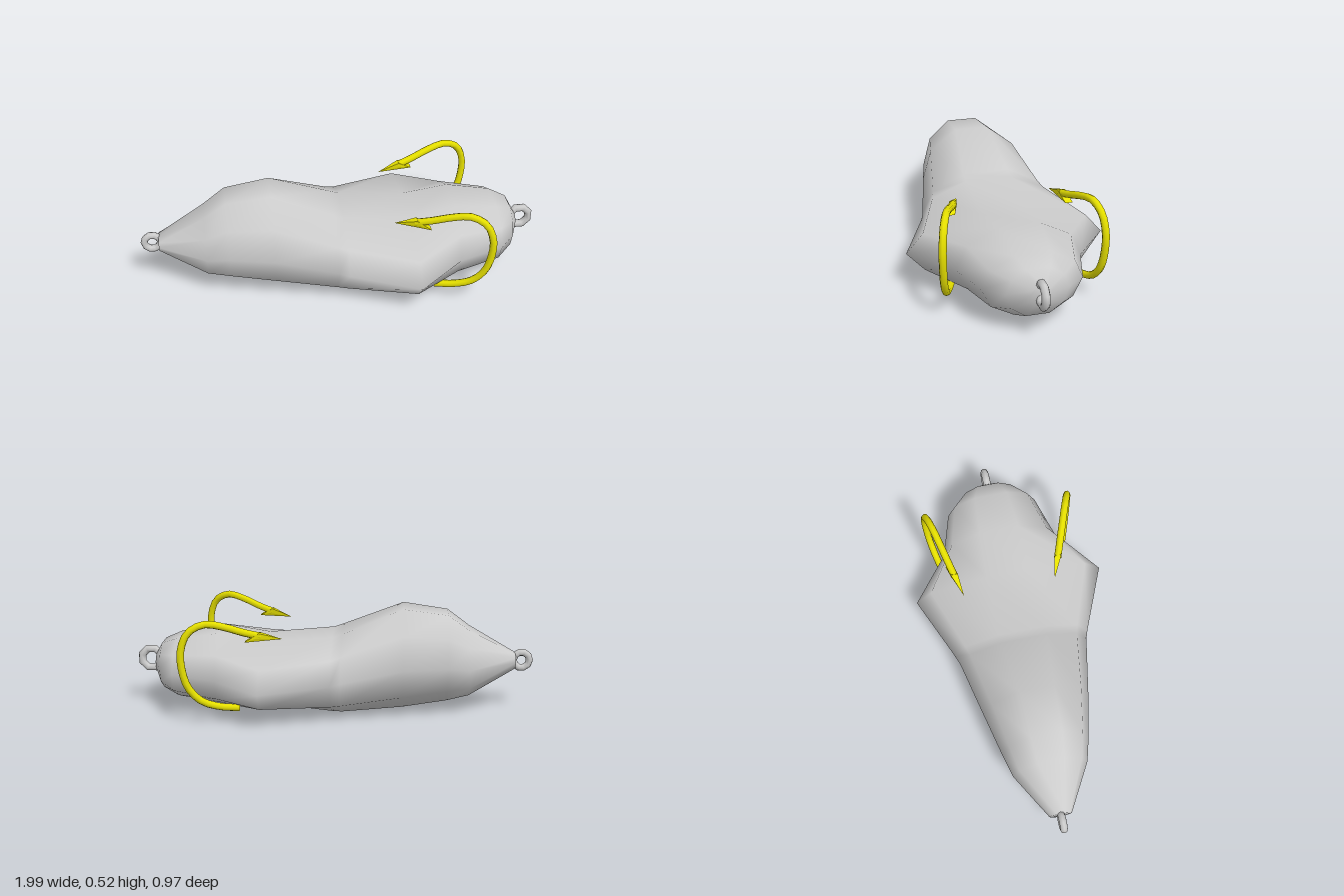
import * as THREE from 'three';
import { ConvexGeometry } from 'three/addons/geometries/ConvexGeometry.js';

const grey = new THREE.MeshStandardMaterial({ color: 0xcccccc });
const yellow = new THREE.MeshStandardMaterial({ color: 0xe6e000 });

// Body stations: x, top y, bottom y, widest y, half width, half width of the flat top and bottom
const STATIONS = [
  [-0.91, 0.29, 0.215, 0.255, 0.055, 0.02],
  [-0.68, 0.415, 0.085, 0.245, 0.185, 0.065],
  [-0.57, 0.495, 0.06, 0.26, 0.215, 0.075],
  [-0.35, 0.525, 0.025, 0.26, 0.265, 0.085],
  [-0.05, 0.403, 0.004, 0.21, 0.328, 0.115],
  [0, 0.385, 0.006, 0.2, 0.345, 0.115],
  [0.33, 0.355, 0.04, 0.195, 0.485, 0.11],
  [0.56, 0.395, 0.034, 0.205, 0.3, 0.1],
  [0.78, 0.36, 0.065, 0.215, 0.235, 0.085],
  [0.86, 0.33, 0.1, 0.22, 0.145, 0.055],
  [0.9, 0.26, 0.175, 0.225, 0.045, 0.02],
];

// Ten-sided cross-section, running from the top over the left side and round
function section([x, top, bottom, mid, w, flat]) {
  const up = top - mid, down = mid - bottom;
  const half = [
    [top, flat], [mid + up * 0.6, w * 0.83], [mid, w],
    [mid - down * 0.62, w * 0.82], [bottom, flat],
  ];
  const other = half.map(([y, z]) => [y, -z]).reverse();
  return [...half, ...other].map(([y, z]) => [x, y, z]);
}

function bodyGeometry() {
  const rings = STATIONS.map(section);
  const n = rings[0].length, last = rings.length - 1;
  const positions = rings.flat(2), index = [];
  for (let i = 0; i < last; i++) {
    for (let j = 0; j < n; j++) {
      const a = i * n + j, b = i * n + (j + 1) % n;
      index.push(a, b, a + n, b, b + n, a + n);
    }
  }
  // Closed ends
  for (let j = 1; j < n - 1; j++) {
    index.push(0, j + 1, j);
    index.push(last * n, last * n + j, last * n + j + 1);
  }
  const geometry = new THREE.BufferGeometry();
  geometry.setAttribute('position', new THREE.Float32BufferAttribute(positions, 3));
  geometry.setIndex(index);
  geometry.computeVertexNormals();
  return geometry;
}

function addMesh(parent, name, geometry, material) {
  const mesh = new THREE.Mesh(geometry, material);
  mesh.name = name;
  parent.add(mesh);
  return mesh;
}

// Hook bent in x and y, lying in an upright plane that leans outwards with x
function hook(name, side, z0, slope, stretch) {
  const group = new THREE.Group();
  group.name = name;
  const place = (x, y, dz = 0) => {
    const px = 0.24 + (x - 0.24) * stretch;
    return new THREE.Vector3(px, y, side * (z0 + (px - 0.24) * slope) + dz);
  };
  const bend = [
    [0.43, 0.075], [0.52, 0.087], [0.6, 0.12], [0.657, 0.19], [0.683, 0.29],
    [0.683, 0.38], [0.65, 0.46], [0.58, 0.497], [0.5, 0.483], [0.4, 0.447], [0.33, 0.427],
  ];
  const curve = new THREE.CatmullRomCurve3(bend.map(([x, y]) => place(x, y)));
  addMesh(group, 'hookWire', new THREE.TubeGeometry(curve, 24, 0.018, 8), yellow);
  // Closed cut end of the wire
  const butt = addMesh(group, 'hookButt', new THREE.CircleGeometry(0.018, 8), yellow);
  butt.position.copy(curve.getPoint(0));
  butt.lookAt(butt.position.clone().sub(curve.getTangent(0)));
  // Pointed tip with a barb underneath
  const tip = [place(0.232, 0.408)];
  for (const dz of [-0.018, 0.018]) {
    tip.push(place(0.335, 0.445, dz), place(0.35, 0.42, dz), place(0.4, 0.404, dz));
  }
  const barb = addMesh(group, 'barbedTip', new ConvexGeometry(tip), yellow.clone());
  barb.material.flatShading = true;
  return group;
}

export function createModel() {
  const model = new THREE.Group();
  model.name = 'fishingLure';

  addMesh(model, 'body', bodyGeometry(), grey);

  // Line eyes at the two ends
  const frontEye = addMesh(model, 'noseRing', new THREE.TorusGeometry(0.052, 0.02, 8, 8), grey);
  frontEye.position.set(0.928, 0.235, 0);
  frontEye.rotation.z = Math.PI / 8;
  const rearEye = addMesh(model, 'tailRing', new THREE.TorusGeometry(0.04, 0.018, 8, 10), grey);
  rearEye.position.set(-0.942, 0.255, 0);

  model.add(hook('leftHook', 1, 0.222, 0.365, 1));
  model.add(hook('rightHook', -1, 0.246, 0.255, 1.045));
  return model;
}
